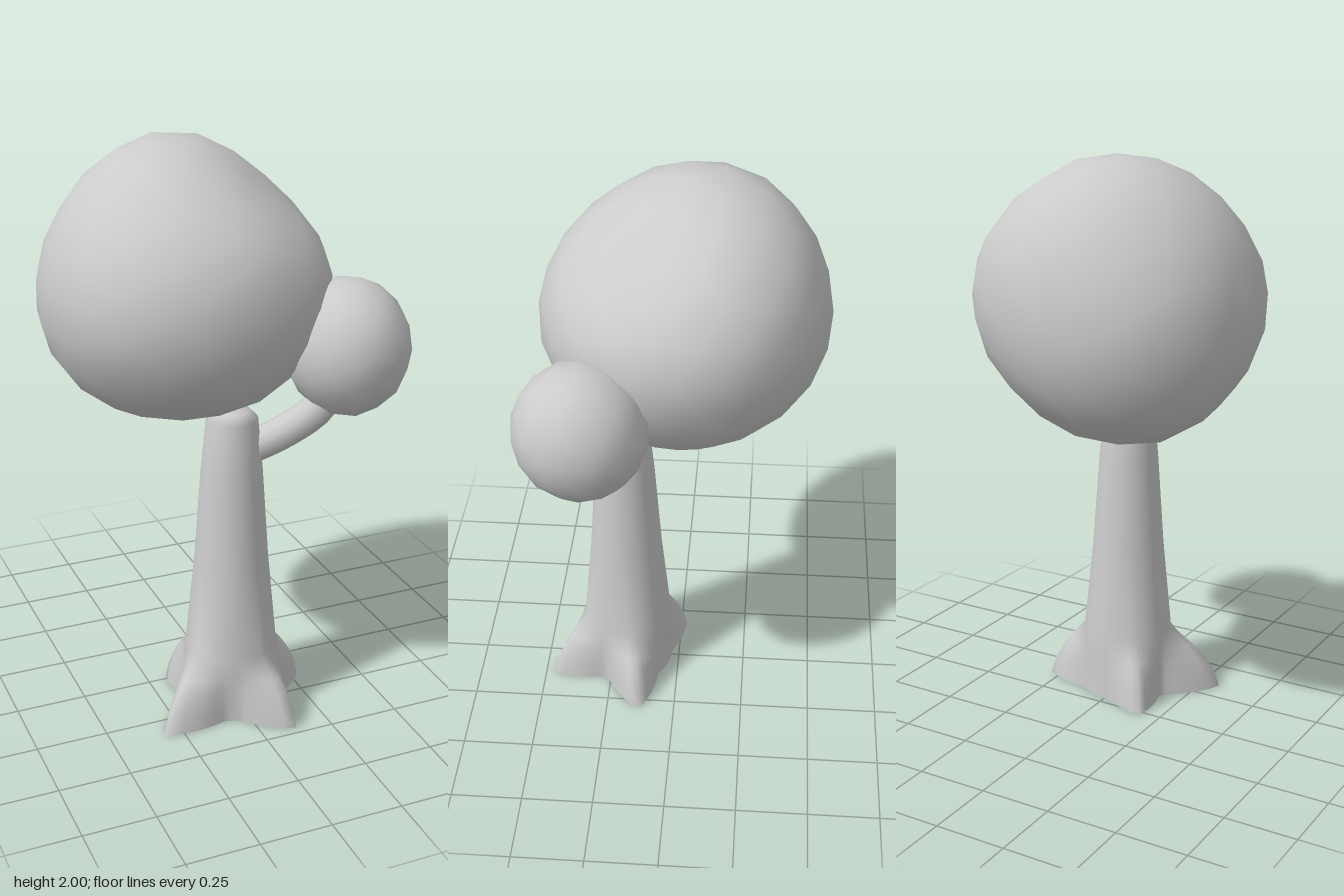
import * as THREE from 'three';
import { mergeVertices } from 'three/addons/utils/BufferGeometryUtils.js';

const material = new THREE.MeshStandardMaterial({ color: 0xcccccc, side: THREE.DoubleSide });

// Move every vertex by a rule, weld the seams and smooth the normals
function sculpt(geometry, rule) {
  const pos = geometry.attributes.position;
  const v = new THREE.Vector3();
  for (let i = 0; i < pos.count; i++) {
    v.fromBufferAttribute(pos, i);
    rule(v);
    pos.setXYZ(i, v.x, v.y, v.z);
  }
  geometry.deleteAttribute('uv');
  geometry.deleteAttribute('normal');
  const welded = mergeVertices(geometry, 1e-4);
  welded.computeVertexNormals();
  return welded;
}

function part(name, geometry, x = 0, y = 0, z = 0) {
  const mesh = new THREE.Mesh(geometry, material);
  mesh.name = name;
  mesh.position.set(x, y, z);
  return mesh;
}

// Tapered trunk whose foot spreads into four pointed roots, open below
function trunkGeometry() {
  const profile = [
    [0.165, 0], [0.163, 0.06], [0.162, 0.12], [0.161, 0.17], [0.161, 0.24],
    [0.129, 0.57], [0.106, 0.9], [0.088, 1.09], [0.06, 1.12], [0, 1.13],
  ].map(([r, y]) => new THREE.Vector2(r, y));
  // Root tips as x, z offsets from the trunk axis
  const roots = [[-0.305, 0.145], [0.127, 0.275], [0.295, -0.06], [-0.165, -0.205]]
    .map(([x, z]) => ({ angle: Math.atan2(x, z), length: Math.hypot(x, z) }));
  const rootHeight = 0.24, rootSpread = 0.65;

  return sculpt(new THREE.LatheGeometry(profile, 56), (v) => {
    if (v.y >= rootHeight) return;
    const angle = Math.atan2(v.x, v.z);
    const radius = Math.hypot(v.x, v.z);
    const rise = 1 - Math.pow(v.y / rootHeight, 1.6);
    let bulge = 0;
    for (const root of roots) {
      const d = angle - root.angle;
      const turn = Math.abs(Math.atan2(Math.sin(d), Math.cos(d)));
      const ridge = Math.pow(Math.max(0, 1 - turn / rootSpread), 1.4);
      bulge = Math.max(bulge, ridge * (root.length + 0.01 - radius) * rise);
    }
    v.x *= (radius + bulge) / radius;
    v.z *= (radius + bulge) / radius;
  });
}

// Rounded foliage clump; each lobe swells or flattens it towards one direction
function foliageGeometry(detail, size, lobes = []) {
  const shaped = lobes.map(([x, y, z, amount, focus]) => (
    { direction: new THREE.Vector3(x, y, z).normalize(), amount, focus }));
  return sculpt(new THREE.IcosahedronGeometry(1, detail), (v) => {
    let scale = 1;
    for (const { direction, amount, focus } of shaped) {
      scale += amount * Math.pow(Math.max(0, v.dot(direction)), focus);
    }
    v.multiplyScalar(scale).multiply(size);
  });
}

export function createModel() {
  const tree = new THREE.Group();
  tree.name = 'tree';

  tree.add(part('trunk', trunkGeometry(), -0.007, 0, 0.193));

  // Side branch curving up into the small clump
  const path = new THREE.CatmullRomCurve3([
    new THREE.Vector3(0.0, 0.955, 0.185),
    new THREE.Vector3(0.08, 0.985, 0.208),
    new THREE.Vector3(0.17, 1.04, 0.25),
    new THREE.Vector3(0.265, 1.125, 0.295),
    new THREE.Vector3(0.34, 1.25, 0.3),
  ]);
  tree.add(part('branch', new THREE.TubeGeometry(path, 12, 0.057, 12)));

  // Main crown: flattened above the small clump, fuller low at the back
  const crownLobes = [
    [0.6, 0.75, 0.3, -0.19, 6],
    [-0.1, 0.7, 0.7, -0.06, 6],
    [-0.1, 0.88, -0.45, 0.055, 8],
    [-0.55, -0.62, -0.56, 0.16, 4],
    [-0.7, 0.1, -0.7, 0.03, 6],
    [-0.68, -0.3, 0.66, 0.06, 5],
  ];
  tree.add(part('crown',
    foliageGeometry(3, new THREE.Vector3(0.488, 0.472, 0.485), crownLobes), -0.074, 1.53, -0.012));

  tree.add(part('smallCrown',
    foliageGeometry(2, new THREE.Vector3(0.212, 0.237, 0.223)), 0.367, 1.325, 0.289));

  return tree;
}
